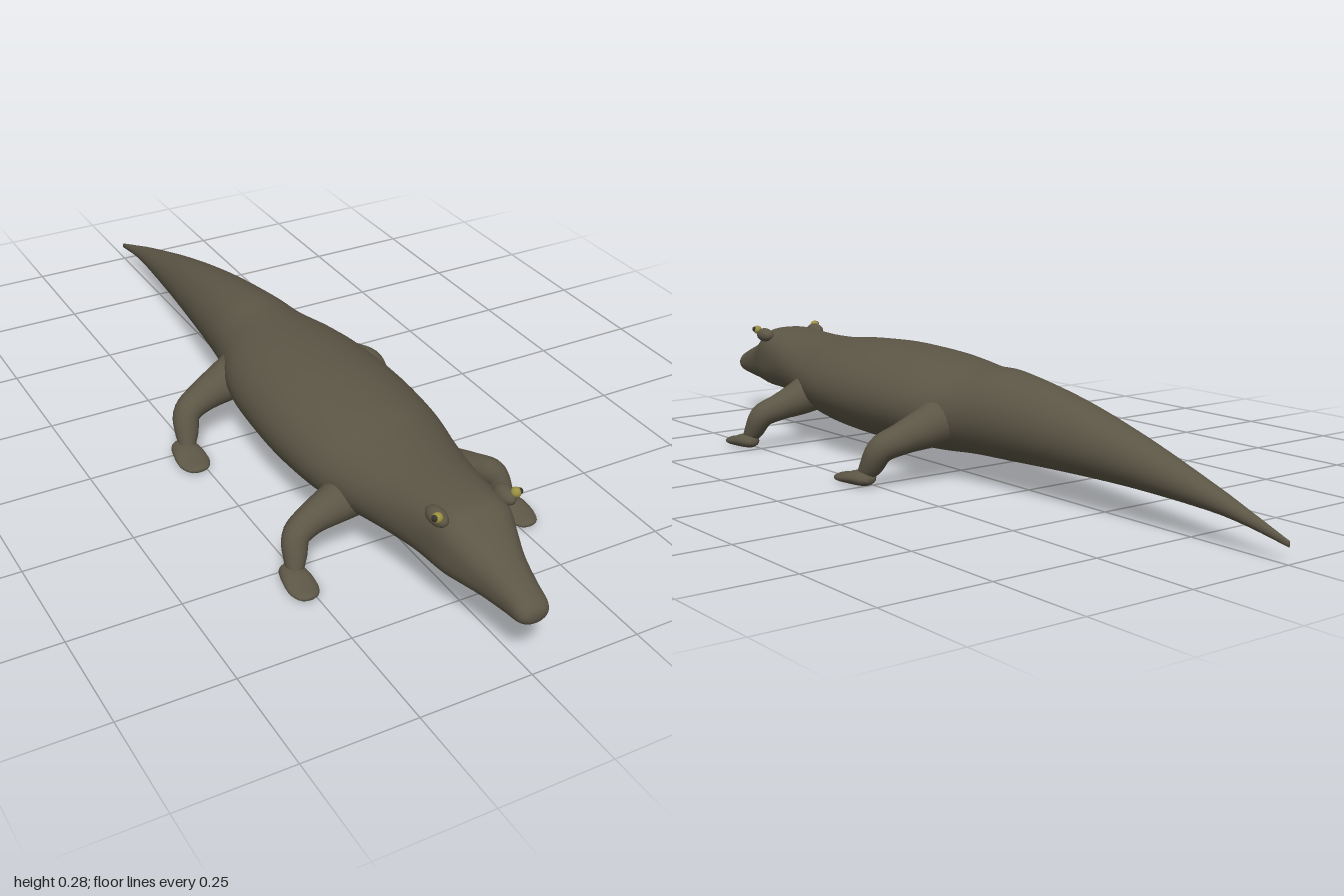
import * as THREE from 'three';

const skin = new THREE.MeshStandardMaterial({ color: 0x5c5646 });
skin.name = 'skin';
const eyeYellow = new THREE.MeshStandardMaterial({ color: 0x9a9040 });
eyeYellow.name = 'eye yellow';
const dark = new THREE.MeshStandardMaterial({ color: 0x35322b });
dark.name = 'dark pupil';

// Joins a list of closed rings (counter-clockwise seen from the far end) into a smooth skin
function loft(rings) {
  const n = rings[0].length, position = [], index = [];
  const centre = (r) => r.reduce((s, p) => s.add(p), new THREE.Vector3()).divideScalar(n);
  rings.forEach((r) => r.forEach((p) => position.push(p.x, p.y, p.z)));
  for (let i = 0; i < rings.length - 1; i++) {
    for (let j = 0; j < n; j++) {
      const k = (j + 1) % n;
      const a = i * n + j, b = i * n + k, c = b + n, d = a + n;
      index.push(a, b, c, a, c, d);
    }
  }
  // End caps
  const last = (rings.length - 1) * n, tip = rings.length * n;
  for (const r of [rings[0], rings[rings.length - 1]]) position.push(...centre(r).toArray());
  for (let j = 0; j < n; j++) {
    const k = (j + 1) % n;
    index.push(tip, k, j, tip + 1, last + j, last + k);
  }
  const g = new THREE.BufferGeometry();
  g.setAttribute('position', new THREE.Float32BufferAttribute(position, 3));
  g.setIndex(index);
  g.computeVertexNormals();
  return g;
}

// Stations along z: [z, half width, bottom, top, roundness exponent (1 = ellipse, less = boxier)]
function zLoft(stations, steps, sides, cx = 0) {
  const size = new THREE.CatmullRomCurve3(stations.map((s) => new THREE.Vector3(s[1], s[2], s[3])), false, 'catmullrom');
  const place = new THREE.CatmullRomCurve3(stations.map((s) => new THREE.Vector3(s[0], s[4] ?? 1, 0)), false, 'catmullrom');
  const rings = [];
  for (let i = 0; i <= steps; i++) {
    const s = size.getPoint(i / steps), q = place.getPoint(i / steps), ring = [];
    const pow = (v) => Math.sign(v) * Math.abs(v) ** q.y;
    for (let j = 0; j < sides; j++) {
      const a = (j / sides) * Math.PI * 2;
      ring.push(new THREE.Vector3(cx + s.x * pow(Math.cos(a)),
        (s.y + s.z) / 2 + ((s.z - s.y) / 2) * pow(Math.sin(a)), q.x));
    }
    rings.push(ring);
  }
  return loft(rings);
}

// Limb along a path of [x, y, z, radius], mirrored by side
function limb(points, side) {
  const path = new THREE.CatmullRomCurve3(points.map((p) => new THREE.Vector3(p[0] * side, p[1], p[2])), false, 'catmullrom');
  const radius = new THREE.CatmullRomCurve3(points.map((p, i) => new THREE.Vector3(p[3], i, 0)), false, 'catmullrom');
  const rings = [], steps = 24, sides = 18;
  for (let i = 0; i <= steps; i++) {
    const c = path.getPoint(i / steps), t = path.getTangent(i / steps), r = radius.getPoint(i / steps).x;
    const n = t.clone().cross(new THREE.Vector3(0, 0, 1)).normalize();
    const b = n.clone().cross(t);
    rings.push(Array.from({ length: sides }, (_, j) => {
      const a = (j / sides) * Math.PI * 2;
      return c.clone().addScaledVector(b, r * Math.cos(a)).addScaledVector(n, r * Math.sin(a));
    }));
  }
  return loft(rings);
}

function add(parent, name, geometry, material) {
  const m = new THREE.Mesh(geometry, material);
  m.name = name;
  parent.add(m);
  return m;
}

function ball(parent, name, material, p, s) {
  const m = add(parent, name, new THREE.SphereGeometry(1, 18, 12), material);
  m.position.set(...p);
  m.scale.set(...s);
  return m;
}

export function createModel() {
  const model = new THREE.Group();
  model.name = 'lizard';

  // Tail, trunk, head and snout in one skin
  add(model, 'body', zLoft([
    [-1.0, 0.003, 0.034, 0.047],
    [-0.9, 0.014, 0.053, 0.083],
    [-0.8, 0.026, 0.064, 0.118],
    [-0.6, 0.052, 0.07, 0.18],
    [-0.4, 0.077, 0.067, 0.23],
    [-0.2, 0.102, 0.06, 0.262],
    [-0.1, 0.122, 0.057, 0.263],
    [0.0, 0.155, 0.05, 0.27],
    [0.1, 0.17, 0.046, 0.277],
    [0.25, 0.176, 0.044, 0.28],
    [0.4, 0.166, 0.052, 0.272],
    [0.5, 0.145, 0.066, 0.262],
    [0.6, 0.12, 0.082, 0.259, 0.95],
    [0.7, 0.1, 0.096, 0.262, 0.85],
    [0.78, 0.087, 0.1, 0.26, 0.72],
    [0.82, 0.075, 0.102, 0.24, 0.75],
    [0.88, 0.055, 0.104, 0.21, 0.85],
    [0.94, 0.042, 0.108, 0.187, 0.9],
    [0.98, 0.036, 0.114, 0.169, 0.9],
    [0.995, 0.026, 0.122, 0.157],
    [1.0, 0.01, 0.134, 0.146],
  ], 120, 40), skin);

  // Paths of the sprawled legs
  const frontPath = [[0.07, 0.15, 0.485, 0.06], [0.135, 0.124, 0.485, 0.046], [0.2, 0.103, 0.49, 0.034],
    [0.242, 0.084, 0.503, 0.03], [0.255, 0.048, 0.522, 0.025], [0.264, 0.017, 0.54, 0.016]];
  const hindPath = [[0.06, 0.155, -0.055, 0.066], [0.13, 0.13, -0.053, 0.05], [0.2, 0.108, -0.043, 0.037],
    [0.245, 0.087, -0.027, 0.032], [0.257, 0.048, -0.005, 0.027], [0.266, 0.017, 0.018, 0.016]];

  for (const side of [1, -1]) {
    const label = side > 0 ? 'left' : 'right';

    for (const [name, path, heel, toe, x, w] of [
      ['FrontLeg', frontPath, 0.505, 0.617, 0.268, 0.033],
      ['HindLeg', hindPath, -0.02, 0.1, 0.271, 0.037],
    ]) {
      const leg = new THREE.Group();
      leg.name = label + name;
      add(leg, 'limb', limb(path, side), skin);
      // Flat foot, wider towards the toes
      const z = (f) => heel + (toe - heel) * f;
      add(leg, 'foot', zLoft([
        [z(0), w * 0.3, 0.01, 0.022],
        [z(0.12), w * 0.7, 0.002, 0.034],
        [z(0.4), w * 0.95, 0, 0.034],
        [z(0.7), w, 0, 0.023],
        [z(0.92), w * 0.7, 0.001, 0.018],
        [z(1), w * 0.25, 0.006, 0.013],
      ], 24, 18, x * side), skin);
      model.add(leg);
    }

    // Raised brow carrying an outward-looking eye
    const eye = new THREE.Group();
    eye.name = label + 'Eye';
    const brow = ball(eye, 'brow', skin, [0.078 * side, 0.245, 0.765], [0.019, 0.018, 0.032]);
    brow.rotation.z = 0.5 * side;
    ball(eye, 'eyeball', eyeYellow, [0.09 * side, 0.258, 0.785], [0.011, 0.011, 0.011]);
    ball(eye, 'pupil', dark, [0.097 * side, 0.26, 0.787], [0.007, 0.007, 0.007]);
    model.add(eye);
  }
  return model;
}
